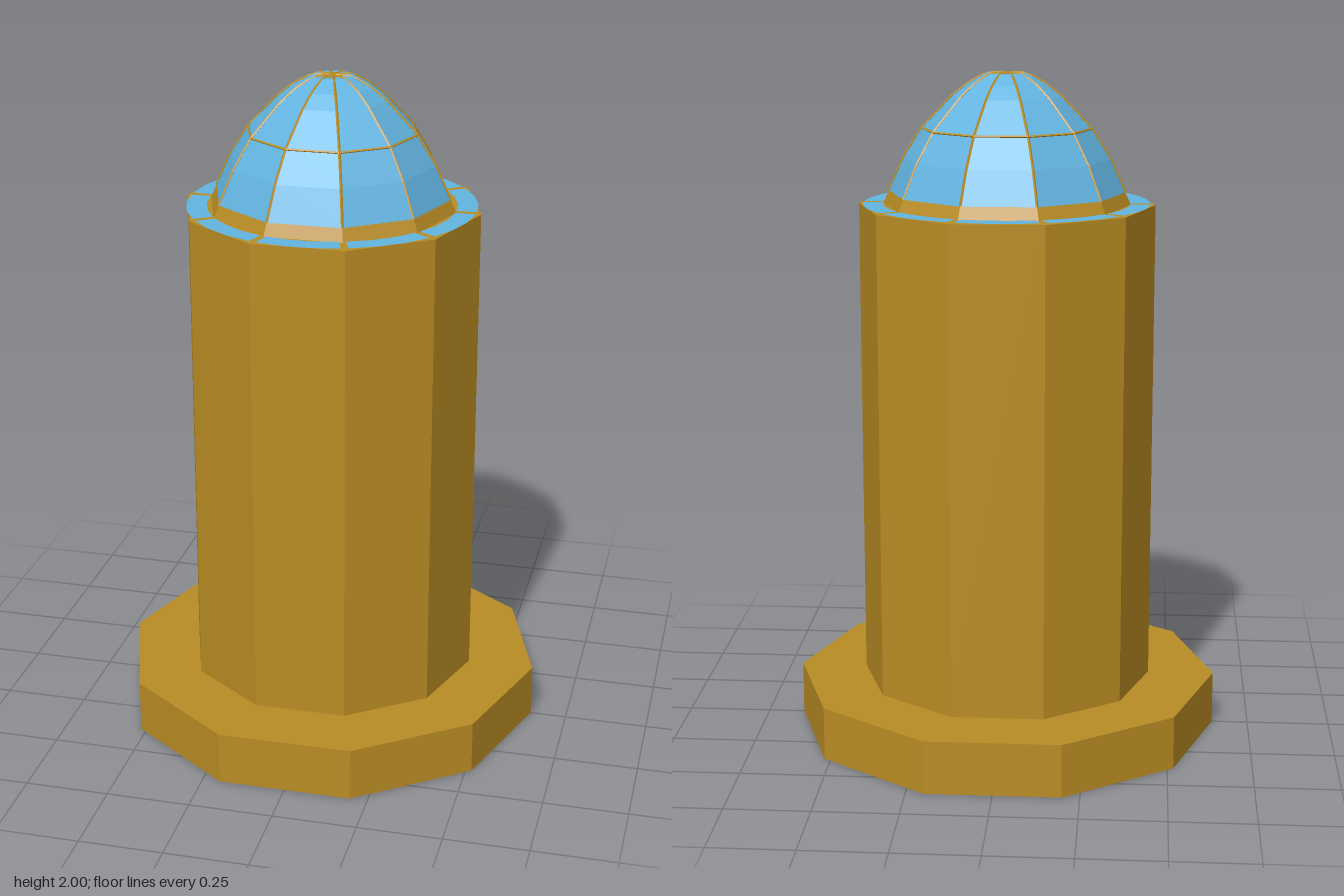
import * as THREE from 'three';

const SIDES = 10;
const START = Math.PI / 2; // puts a corner on the x axis

export function createModel() {
  const model = new THREE.Group();
  const gold = new THREE.MeshStandardMaterial({ color: 0xb98c24, flatShading: true });
  gold.name = 'gold';
  const blue = new THREE.MeshStandardMaterial({ color: 0x62b4e0, flatShading: true });
  blue.name = 'skyBlue';

  const add = (name, geometry, material, y = 0) => {
    const mesh = new THREE.Mesh(geometry, material);
    mesh.name = name;
    mesh.position.y = y;
    model.add(mesh);
    return mesh;
  };
  const prism = (r, h) => new THREE.CylinderGeometry(r, r, h, SIDES, 1, false, START);
  const lathe = (pts) => new THREE.LatheGeometry(
    pts.map(([r, y]) => new THREE.Vector2(r, y)), SIDES, START);

  // Plinth and column
  add('base', prism(0.64, 0.16), gold, 0.08);
  add('column', prism(0.44, 1.455), gold, 0.8875);

  // Dome: gold foot band below blue glazing
  const profile = [[0.35, 1.652], [0.305, 1.75], [0.25, 1.838], [0.16, 1.932], [0.115, 1.968], [0.06, 1.998]];
  add('domeBand', lathe([[0.367, 1.615], profile[0]]), gold);
  add('dome', lathe([...profile, [0, 1.998]]), blue);
  add('domeCap', new THREE.CylinderGeometry(0.03, 0.03, 0.004, SIDES, 1, false, START), gold, 1.998);

  // Thin horizontal glazing bar
  add('domeRing', new THREE.TorusGeometry(0.25, 0.004, 4, SIDES), gold, 1.838).rotation.x = Math.PI / 2;

  // Glazing bars along the dome corners, and blue plates round the rim
  const path = new THREE.CurvePath();
  const points = [...profile, [0.01, 1.998]].map(([r, y]) => new THREE.Vector3(r, y, 0));
  for (let i = 1; i < points.length; i++) path.add(new THREE.LineCurve3(points[i - 1], points[i]));
  const rib = new THREE.TubeGeometry(path, 24, 0.004, 4);
  const step = (Math.PI * 2) / SIDES;
  const gap = step * 0.04;
  const plate = new THREE.RingGeometry(0.366, 0.426, 1, 1, gap, step - 2 * gap);
  plate.rotateX(-Math.PI / 2);
  for (let i = 0; i < SIDES; i++) {
    add('domeRib', rib, gold).rotation.y = i * step;
    add('rimPlate', plate, blue, 1.618).rotation.y = i * step;
  }
  return model;
}
